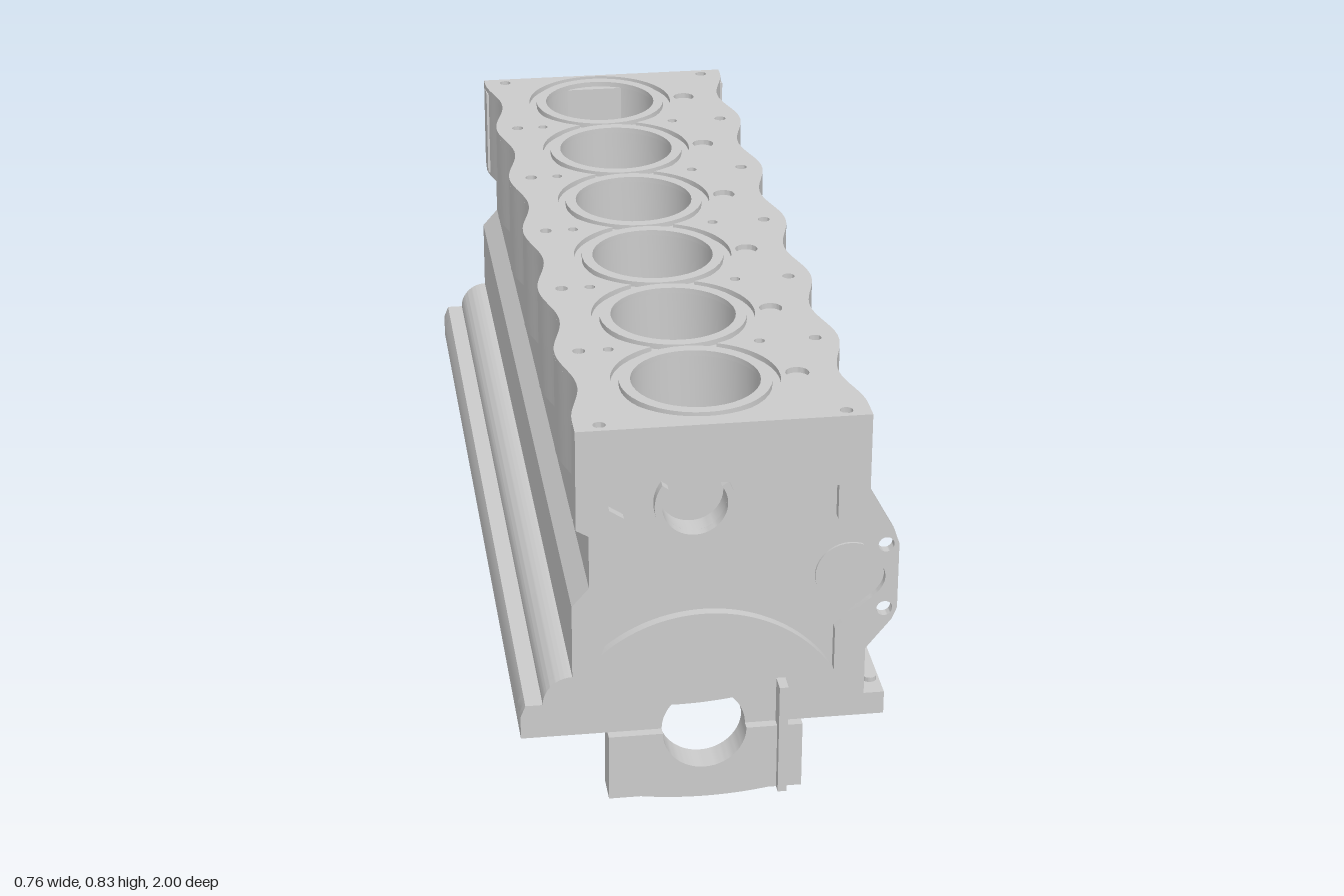
import * as THREE from 'three';
import { toCreasedNormals } from 'three/addons/utils/BufferGeometryUtils.js';

const PITCH = 0.3125, MID = -0.027, BORE = 0.13;
const CRANK = { x: -0.01, y: 0.155, r: 0.085 };
const FRONT = 0.96, BACK = -0.985;
const cylinders = [-2.5, -1.5, -0.5, 0.5, 1.5, 2.5].map(k => MID + k * PITCH);
const mains = [-2, -1, 0, 1, 2].map(k => MID + k * PITCH);

export function createModel() {
  const model = new THREE.Group();
  const grey = new THREE.MeshStandardMaterial({ color: 0xcccccc });

  const add = (name, geometry) => {
    const mesh = new THREE.Mesh(toCreasedNormals(geometry, 0.5), grey);
    mesh.name = name;
    model.add(mesh);
    return mesh;
  };
  const extrude = (shape, depth) =>
    new THREE.ExtrudeGeometry(shape, { depth, bevelEnabled: false, curveSegments: 20 });
  // Front-view shape (x, y) pulled along z
  const alongZ = (name, shape, z0, z1) => add(name, extrude(shape, z1 - z0).translate(0, 0, z0));
  // Plan shape (x, -z) pulled along y
  const alongY = (name, shape, y0, y1) =>
    add(name, extrude(shape, y1 - y0).rotateX(-Math.PI / 2).translate(0, y0, 0));
  const box = (name, x0, x1, y0, y1, z0, z1) =>
    add(name, new THREE.BoxGeometry(x1 - x0, y1 - y0, z1 - z0)
      .translate((x0 + x1) / 2, (y0 + y1) / 2, (z0 + z1) / 2));
  const poly = pts => new THREE.Shape(pts.map(p => new THREE.Vector2(...p)));
  const circle = (x, y, r, Type = THREE.Path) => new Type().absarc(x, y, r, 0, Math.PI * 2, false);

  // Plan of the upper block: sides dip inward beside each cylinder
  const dip = z => {
    const t = (z - MID) / PITCH;
    return Math.abs(t) > 3 ? 0 : 0.5 - 0.5 * Math.cos(2 * Math.PI * t);
  };
  function plan(z0, z1, scallopLeft = true) {
    const n = 110, right = [], left = [];
    for (let i = 0; i <= n; i++) {
      const z = z1 + (z0 - z1) * i / n;
      right.push([0.318 - 0.03 * dip(z), -z]);
      if (scallopLeft) left.unshift([-0.265 + 0.028 * dip(z), -z]);
    }
    if (!scallopLeft) left.push([-0.24, -z0], [-0.24, -z1]);
    return poly([...right, ...left]);
  }

  // Cylinder block, upper and lower
  const upper = plan(-0.965, 0.9);
  const lower = plan(-0.965, 0.9, false);
  for (const z of cylinders) {
    upper.holes.push(circle(0, -z, BORE));
    lower.holes.push(circle(0, -z, BORE));
  }
  alongY('upperCylinderBlock', upper, 0.61, 0.823);
  alongY('lowerCylinderBlock', lower, 0.43, 0.61);

  // Deck with the linked gasket groove, bolt holes and water holes
  const deck = plan(BACK, FRONT);
  const groove = new THREE.Path();
  const R = 0.17, cusp = Math.asin(PITCH / 2 / R);
  const ys = cylinders.map(z => -z).reverse();
  ys.forEach((y, i) => groove.absarc(0, y, R, i ? -cusp : -Math.PI / 2, i < 5 ? cusp : Math.PI / 2, false));
  for (let i = 5; i >= 0; i--)
    groove.absarc(0, ys[i], R, i < 5 ? Math.PI - cusp : Math.PI / 2, i ? Math.PI + cusp : Math.PI * 1.5, false);
  deck.holes.push(groove);
  for (const z of [-0.96, ...mains, 0.935])
    for (const x of [-0.215, 0.27]) deck.holes.push(circle(x, -z, 0.013));
  for (const z of mains)
    for (const x of [-0.155, 0.155]) deck.holes.push(circle(x, -z, 0.011));
  for (const z of cylinders) deck.holes.push(circle(0.205, -z, 0.024));
  alongY('deck', deck, 0.823, 0.835);
  for (const z of cylinders) {
    const land = circle(0, -z, 0.153, THREE.Shape);
    land.holes.push(circle(0, -z, BORE));
    alongY('boreLand', land, 0.823, 0.835);
  }

  // Crankcase side walls with their pan rails
  const leftWall = new THREE.Shape();
  leftWall.moveTo(-0.23, 0.49).lineTo(-0.24, 0.49).lineTo(-0.275, 0.45).lineTo(-0.275, 0.29);
  leftWall.absarc(-0.275, 0.23, 0.06, Math.PI / 2, Math.PI, false);
  leftWall.lineTo(-0.37, 0.23).lineTo(-0.38, 0.205).lineTo(-0.38, 0.155).lineTo(-0.25, 0.155)
    .lineTo(-0.25, 0.43).lineTo(-0.23, 0.43);
  alongZ('rightSkirt', leftWall, -0.965, 0.94);
  alongZ('leftSkirt', poly([[0.28, 0.155], [0.36, 0.155], [0.36, 0.205], [0.318, 0.205],
    [0.318, 0.52], [0.28, 0.52]]), -0.965, 0.94);
  for (let i = 0; i < 10; i++)
    add('railBolt', new THREE.CylinderGeometry(0.014, 0.014, 0.06, 16)
      .translate(0.34, 0.185, -0.93 + i * 0.204));

  // Side gallery and its drilled ribs
  add('oilGallery', new THREE.CylinderGeometry(0.07, 0.07, 1.91, 40)
    .rotateX(Math.PI / 2).translate(0.285, 0.475, -0.01));
  const ear = [[0.318, 0.31], [0.37, 0.375], [0.38, 0.4], [0.38, 0.545], [0.37, 0.575], [0.318, 0.67]];
  const earHoles = () => [circle(0.354, 0.545, 0.016), circle(0.354, 0.4, 0.016)];
  for (const z of [0.345, -0.345]) {
    const rib = poly([[0.28, 0.31], ...ear, [0.28, 0.67]]);
    rib.holes.push(...earHoles());
    alongZ('galleryRib', rib, z - 0.01, z + 0.01);
  }

  // Outline of an end wall, with half of the crank bore cut from its foot
  function endOutline(withEar) {
    const s = new THREE.Shape();
    s.moveTo(-0.38, 0.155).lineTo(CRANK.x - CRANK.r, 0.155);
    s.absarc(CRANK.x, CRANK.y, CRANK.r, Math.PI, 0, true);
    s.lineTo(0.36, 0.155).lineTo(0.36, 0.205).lineTo(0.318, 0.205);
    if (withEar) ear.forEach(p => s.lineTo(...p));
    s.lineTo(0.318, 0.823).lineTo(-0.265, 0.823).lineTo(-0.265, 0.62).lineTo(-0.24, 0.605)
      .lineTo(-0.24, 0.49).lineTo(-0.275, 0.45).lineTo(-0.275, 0.29);
    s.absarc(-0.275, 0.23, 0.06, Math.PI / 2, Math.PI, false);
    s.lineTo(-0.37, 0.23).lineTo(-0.38, 0.205);
    if (withEar) s.holes.push(...earHoles());
    return s;
  }

  // Front wall, raised frame around the sunken panel, and pump port
  const frontWall = endOutline(false);
  frontWall.holes.push(circle(-0.03, 0.66, 0.065));
  alongZ('frontWall', frontWall, 0.9, 0.94);
  const frontFrame = endOutline(true);
  const panel = new THREE.Path();
  panel.moveTo(-0.2, 0.73).lineTo(0.255, 0.685).lineTo(0.255, 0.61).lineTo(0.275, 0.61).lineTo(0.318, 0.53);
  panel.quadraticCurveTo(0.39, 0.47, 0.318, 0.42);
  panel.lineTo(0.255, 0.36).lineTo(0.255, 0.245);
  panel.absarc(-0.01, 0.105, 0.31, 0.49, 2.3, false);
  panel.lineTo(-0.17, 0.47).lineTo(-0.17, 0.64).lineTo(-0.2, 0.66);
  frontFrame.holes.push(panel);
  alongZ('frontFrame', frontFrame, 0.94, FRONT);
  const port = new THREE.Shape().absarc(-0.03, 0.66, 0.08, Math.PI * 0.8, Math.PI * 2.2, false);
  port.absarc(-0.03, 0.66, 0.065, Math.PI * 2.2, Math.PI * 0.8, true);
  alongZ('pumpPort', port, 0.94, FRONT);

  // Back wall with shallow relief
  alongZ('backWall', endOutline(false), -0.965, -0.92);
  const backFrame = endOutline(true);
  backFrame.holes.push(
    new THREE.Path([[0.29, 0.58], [-0.2, 0.4], [-0.22, 0.3], [0.29, 0.3]].map(p => new THREE.Vector2(...p))),
    new THREE.Path([[-0.19, 0.69], [-0.2, 0.58], [-0.17, 0.58]].map(p => new THREE.Vector2(...p))));
  alongZ('backFrame', backFrame, BACK, -0.965);

  // Bulkheads and main bearing caps
  const bulkhead = new THREE.Shape();
  bulkhead.moveTo(-0.255, 0.155).lineTo(CRANK.x - CRANK.r, 0.155);
  bulkhead.absarc(CRANK.x, CRANK.y, CRANK.r, Math.PI, 0, true);
  bulkhead.lineTo(0.285, 0.155).lineTo(0.285, 0.44).lineTo(-0.255, 0.44);
  const cap = new THREE.Shape();
  cap.moveTo(-0.205, 0.155).lineTo(-0.205, 0.01).lineTo(-0.14, 0.01);
  cap.quadraticCurveTo(-0.01, -0.01, 0.12, 0.01);
  cap.lineTo(0.19, 0.01).lineTo(0.19, 0.155).lineTo(CRANK.x + CRANK.r, 0.155);
  cap.absarc(CRANK.x, CRANK.y, CRANK.r, 0, -Math.PI, true);
  const shell = new THREE.Shape().absarc(CRANK.x, CRANK.y, 0.1, -Math.PI, 0, false);
  shell.absarc(CRANK.x, CRANK.y, CRANK.r, 0, -Math.PI, true);
  for (const z of mains) {
    alongZ('bulkhead', bulkhead, z - 0.058, z + 0.058);
    alongZ('bearingCap', cap, z - 0.025, z + 0.025);
    alongZ('bearingShell', shell, z - 0.06, z + 0.06);
    box('capFoot', -0.245, -0.105, 0.09, 0.155, z - 0.06, z + 0.06);
    box('capFoot', 0.085, 0.225, 0.09, 0.155, z - 0.06, z + 0.06);
  }
  alongZ('frontBearingCap', cap, 0.915, 0.98);
  alongZ('backBearingCap', cap, -0.985, -0.935);

  // Upright ribs beside the end caps and on two inner caps
  box('frontCapRib', 0.138, 0.156, 0.01, 0.255, 0.95, 1);
  for (const x of [-0.167, 0.147]) {
    box('backCapRib', x - 0.009, x + 0.009, 0.01, 0.255, -1, -0.96);
    for (const z of [0.345, -0.345]) box('innerCapRib', x - 0.012, x + 0.012, 0.01, 0.2, z - 0.025, z + 0.025);
  }
  return model;
}
